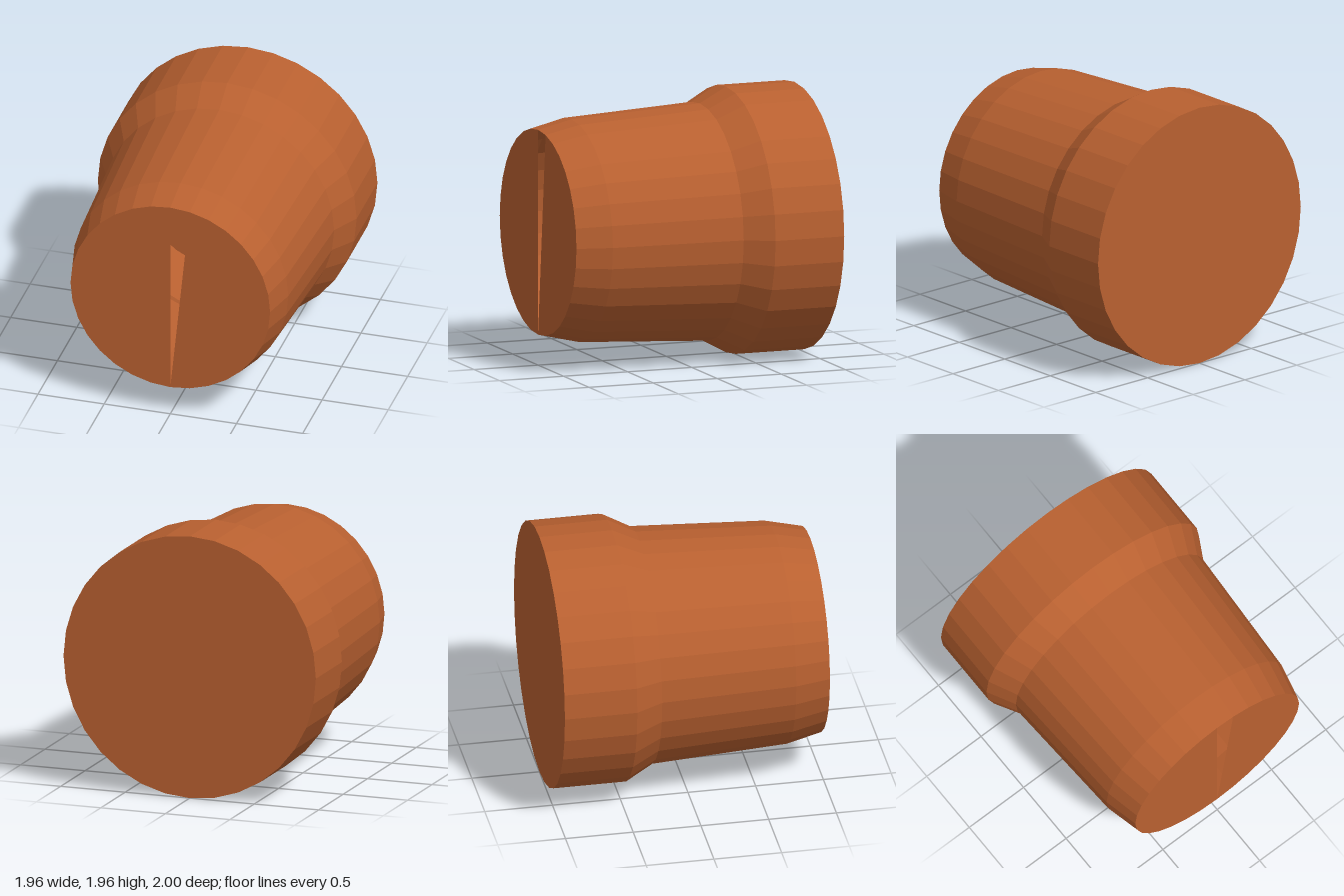
import * as THREE from 'three';

const SIDES = 32;
const CENTRE_Y = 0.98;
const STEP = (Math.PI * 2) / SIDES;

// Flat plate whose corners run along the rim; step 0 is the top, counted towards +x
function rimPlate(radius, from, to) {
  const corners = [];
  for (let i = from; i <= to; i++) {
    corners.push(new THREE.Vector2(Math.sin(i * STEP) * radius, Math.cos(i * STEP) * radius));
  }
  return new THREE.ShapeGeometry(new THREE.Shape(corners));
}

export function createModel() {
  const model = new THREE.Group();
  model.name = 'steppedPlug';

  const terracotta = new THREE.MeshStandardMaterial({ color: 0xb86030, flatShading: true, side: THREE.DoubleSide });
  terracotta.name = 'terracotta';

  const add = (name, geometry, z = 0) => {
    const mesh = new THREE.Mesh(geometry, terracotta);
    mesh.name = name;
    mesh.position.set(0, CENTRE_Y, z);
    model.add(mesh);
    return mesh;
  };

  // Wall sections from back to front: [radius, z]
  const rings = [[0.978, -1], [0.978, -0.465], [0.868, -0.26], [0.815, 0.74], [0.754, 1]];
  const names = ['collar', 'shoulder', 'taperedBody', 'frontBevel'];
  names.forEach((name, i) => {
    const profile = [rings[i], rings[i + 1]].map(([r, z]) => new THREE.Vector2(r, z));
    add(name, new THREE.LatheGeometry(profile, SIDES).rotateX(Math.PI / 2));
  });

  // Closed back
  add('backCap', rimPlate(0.978, 0, SIDES - 1).rotateY(Math.PI), -1);

  // Front in two parts, leaving a narrow wedge-shaped slit open to the hollow inside
  add('frontCapLeft', rimPlate(0.754, 1, SIDES / 2), 1);
  add('frontCapRight', rimPlate(0.754, SIDES / 2, SIDES), 1);

  return model;
}
